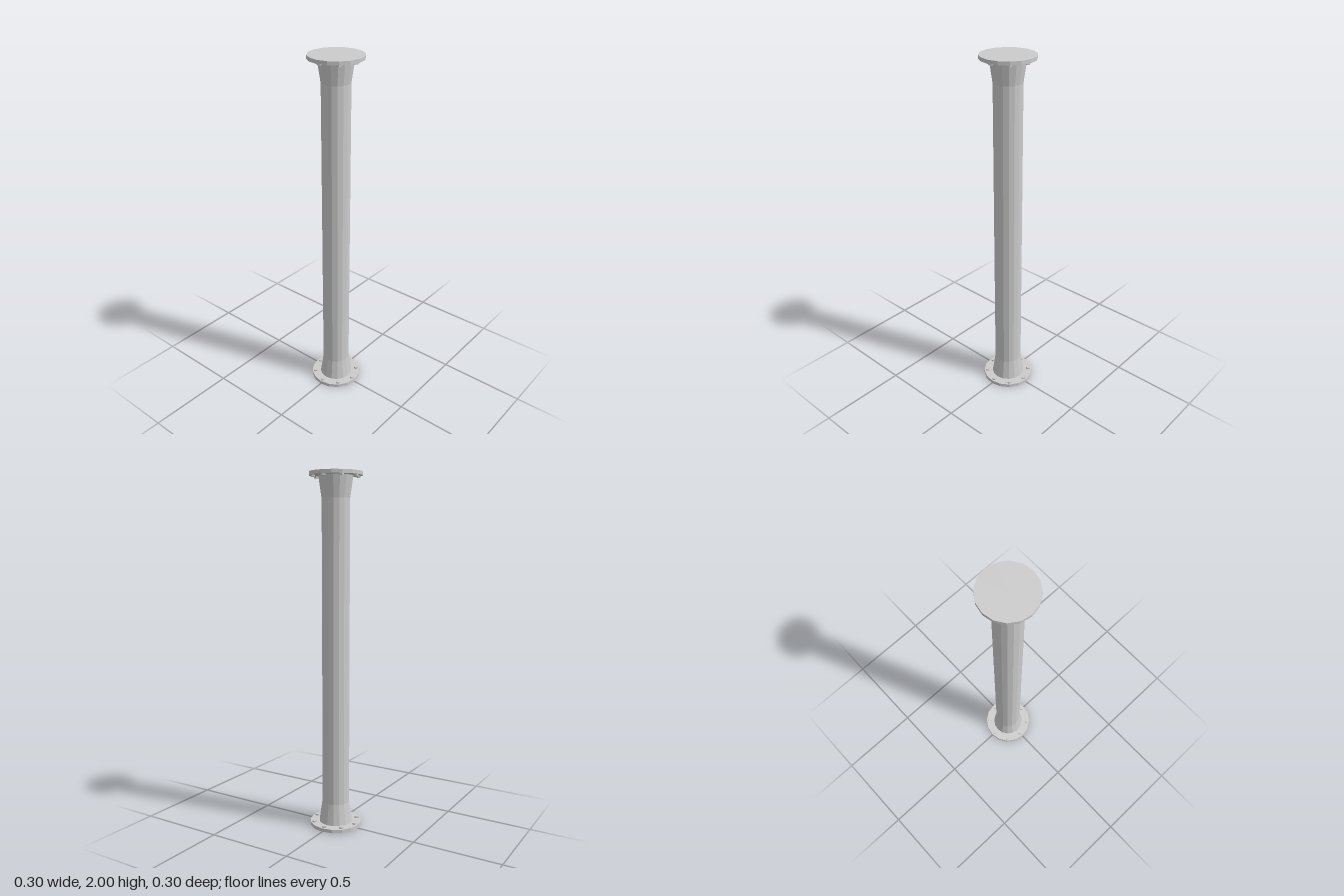
import * as THREE from 'three';

const SIDES = 16;
const HEIGHT = 2;
const material = new THREE.MeshStandardMaterial({ color: 0xcccccc, flatShading: true });

function addPart(parent, name, geometry, y) {
  const mesh = new THREE.Mesh(geometry, material);
  mesh.name = name;
  mesh.position.y = y;
  parent.add(mesh);
  return mesh;
}

// One end of the column: bolted round plate with a tapered collar, built upwards from y = 0
function createEnd(name) {
  const end = new THREE.Group();
  end.name = name;
  addPart(end, 'flange', new THREE.CylinderGeometry(0.148, 0.148, 0.02, SIDES), 0.01);
  addPart(end, 'collar', new THREE.CylinderGeometry(0.0785, 0.096, 0.12, SIDES, 1, true), 0.08);

  // Ring of low hexagonal bolt heads
  const boltGeometry = new THREE.CylinderGeometry(0.013, 0.013, 0.012, 6);
  const bolts = 8;
  for (let i = 0; i < bolts; i++) {
    const angle = (i / bolts) * Math.PI * 2;
    const bolt = addPart(end, 'bolt', boltGeometry, 0.023);
    bolt.position.x = Math.sin(angle) * 0.127;
    bolt.position.z = Math.cos(angle) * 0.127;
    bolt.rotation.y = angle;
  }
  return end;
}

export function createModel() {
  const model = new THREE.Group();
  model.name = 'column';

  // Straight shaft between the two plates
  addPart(model, 'shaft', new THREE.CylinderGeometry(0.078, 0.078, HEIGHT - 0.03, SIDES, 1, true), HEIGHT / 2);

  // Matching ends, the upper one turned over
  model.add(createEnd('base'));
  const top = createEnd('capital');
  top.rotation.x = Math.PI;
  top.position.y = HEIGHT;
  model.add(top);

  return model;
}
